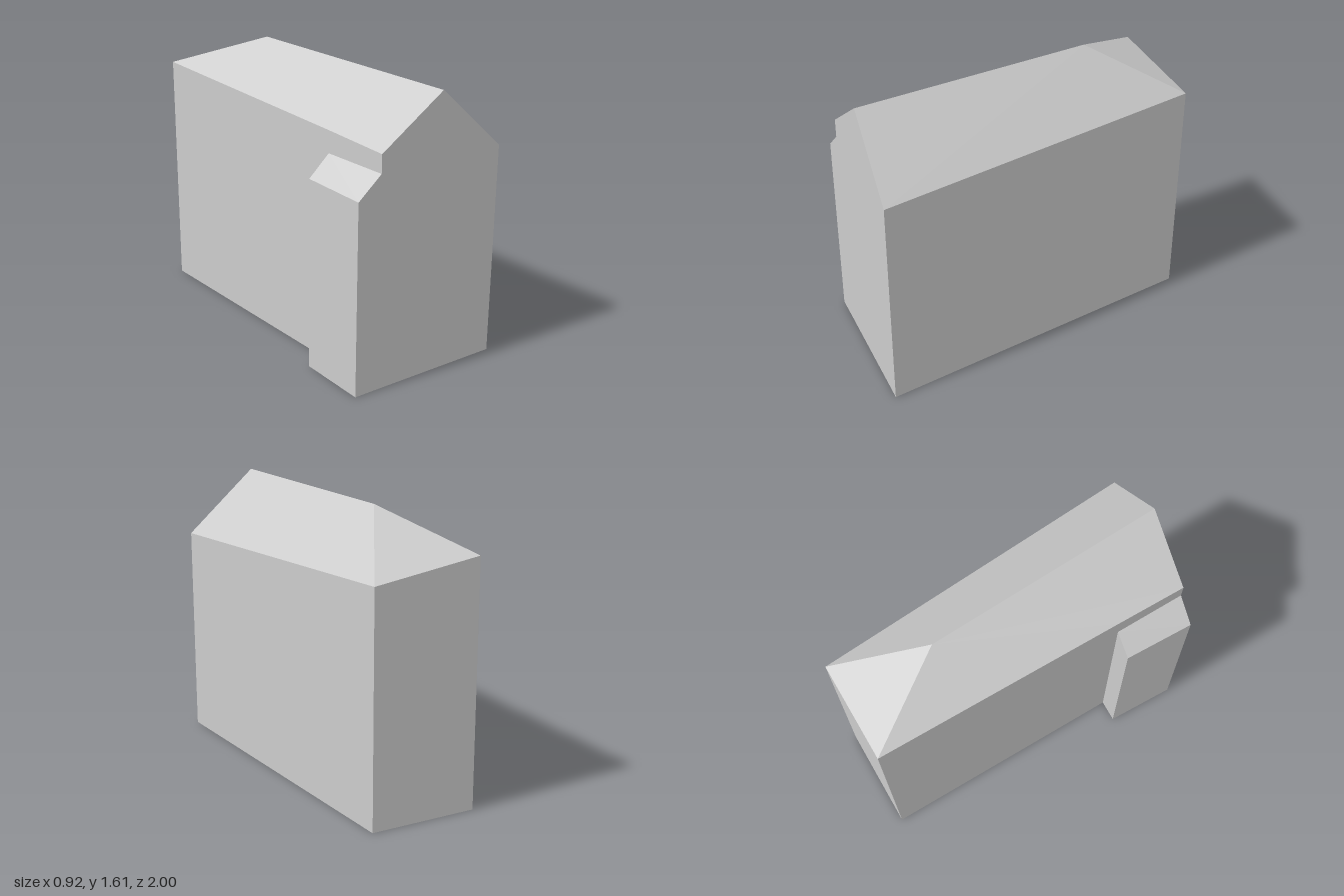
import * as THREE from 'three';

const gray = new THREE.MeshStandardMaterial({ color: 0xcccccc });
gray.name = 'plain gray';

// Ground plan corners as [x, z]
const plan = {
  frontRight: [0.455, 1.0], backRight: [0.415, -0.95], backLeft: [-0.2, -1.0],
  frontLeft: [-0.32, 0.885], joint: [-0.294, 0.473],
  annexFront: [-0.46, 0.865], annexBack: [-0.42, 0.46],
};
const at = (corner, y) => [plan[corner][0], y, plan[corner][1]];

// Flat-sided mesh from convex polygons, corners counter-clockwise from outside
function polygons(name, faces) {
  const points = [];
  for (const f of faces) {
    for (let i = 1; i < f.length - 1; i++) points.push(...f[0], ...f[i], ...f[i + 1]);
  }
  const geometry = new THREE.BufferGeometry();
  geometry.setAttribute('position', new THREE.Float32BufferAttribute(points, 3));
  geometry.computeVertexNormals();
  const mesh = new THREE.Mesh(geometry, gray);
  mesh.name = name;
  return mesh;
}

export function createModel() {
  const group = new THREE.Group();
  group.name = 'house';

  // Eave corners and ridge ends
  const eFR = at('frontRight', 1.238), eBR = at('backRight', 1.31);
  const eBL = at('backLeft', 1.4), eFL = at('frontLeft', 1.345), eJ = at('joint', 1.36);
  const ridgeFront = [0.06, 1.61, 0.94], ridgeBack = [0.09, 1.61, -0.46];

  // Annex roof corners
  const aInFront = at('frontLeft', 1.24), aInBack = at('joint', 1.232);
  const aOutFront = at('annexFront', 1.118), aOutBack = at('annexBack', 1.118);

  const floor = (c) => at(c, 0);

  group.add(polygons('houseWalls', [
    [floor('frontLeft'), floor('frontRight'), eFR, ridgeFront, eFL],
    [floor('frontRight'), floor('backRight'), eBR, eFR],
    [floor('backRight'), floor('backLeft'), eBL, eBR],
    [floor('backLeft'), floor('joint'), eJ, eBL],
    [aInBack, aInFront, eFL, eJ],
  ]));

  group.add(polygons('houseRoof', [
    [eFR, eBR, ridgeBack, ridgeFront],
    [eBR, eBL, ridgeBack],
    [ridgeBack, eBL, eJ],
    [ridgeBack, eJ, eFL, ridgeFront],
  ]));

  group.add(polygons('annexWalls', [
    [floor('annexFront'), floor('frontLeft'), aInFront, aOutFront],
    [floor('annexBack'), floor('annexFront'), aOutFront, aOutBack],
    [floor('joint'), floor('annexBack'), aOutBack, aInBack],
  ]));

  group.add(polygons('annexRoof', [[aOutFront, aInFront, aInBack, aOutBack]]));

  // Underside of both volumes
  group.add(polygons('base', [
    ['frontRight', 'frontLeft', 'joint', 'backLeft', 'backRight'].map(floor),
    ['frontLeft', 'annexFront', 'annexBack', 'joint'].map(floor),
  ]));

  return group;
}
